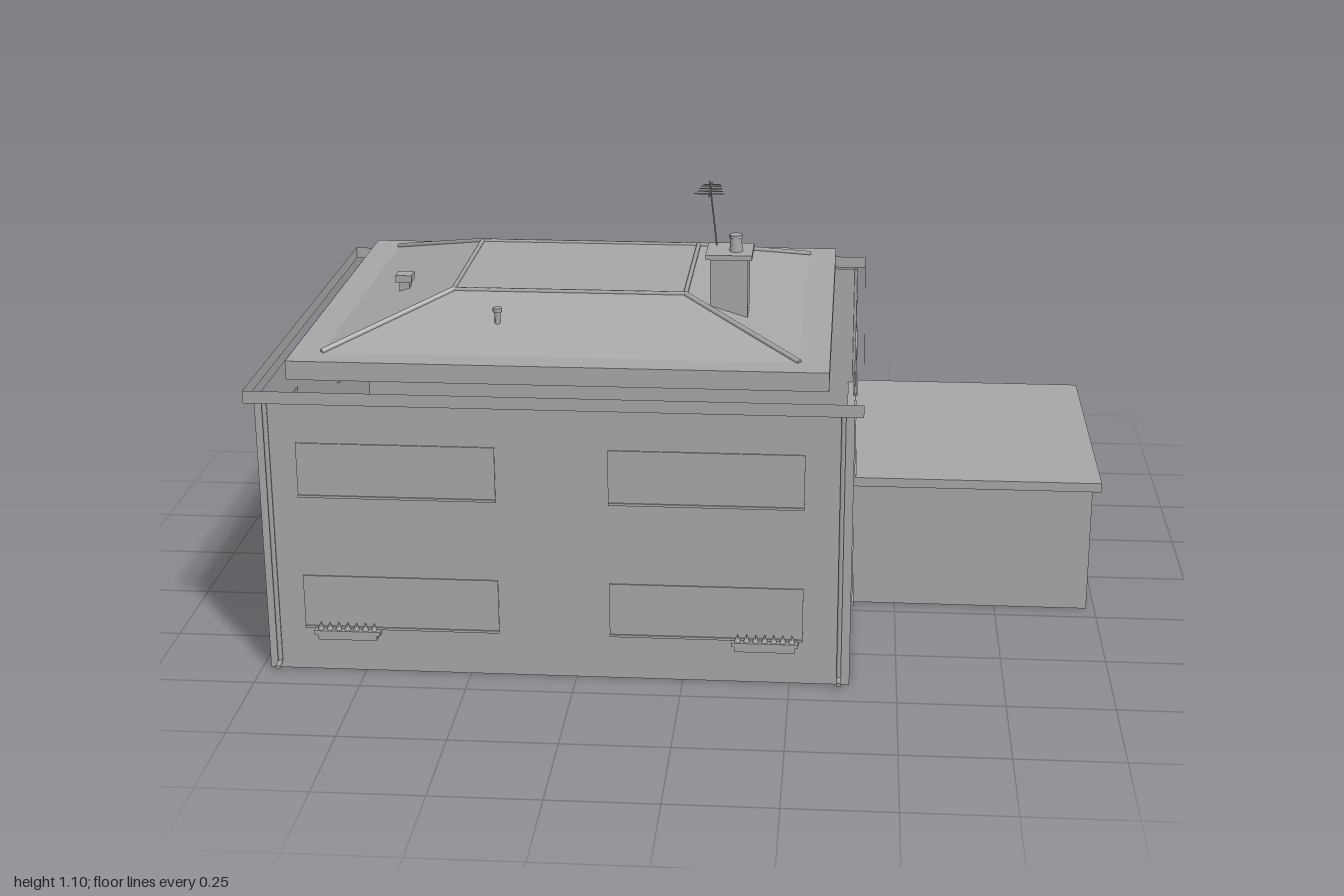
import * as THREE from 'three';

const stone = new THREE.MeshStandardMaterial({ color: 0xa6a6a6, side: THREE.DoubleSide });
stone.name = 'plain grey';

export function createModel() {
  const house = new THREE.Group();
  house.name = 'house';

  const add = (name, geometry, parent = house) => {
    const mesh = new THREE.Mesh(geometry, stone);
    mesh.name = name;
    parent.add(mesh);
    return mesh;
  };
  const group = (name) => {
    const g = new THREE.Group();
    g.name = name;
    house.add(g);
    return g;
  };
  // Box given by its limits on each axis
  const box = (name, x0, x1, y0, y1, z0, z1, parent) => {
    const m = add(name, new THREE.BoxGeometry(x1 - x0, y1 - y0, z1 - z0), parent);
    m.position.set((x0 + x1) / 2, (y0 + y1) / 2, (z0 + z1) / 2);
    return m;
  };
  // Four upright walls without floor or ceiling
  const ring = (name, x0, x1, y0, y1, z0, z1) => {
    const g = new THREE.CylinderGeometry(Math.SQRT1_2, Math.SQRT1_2, 1, 4, 1, true)
      .rotateY(Math.PI / 4).toNonIndexed();
    g.scale(x1 - x0, y1 - y0, z1 - z0);
    g.computeVertexNormals();
    add(name, g).position.set((x0 + x1) / 2, (y0 + y1) / 2, (z0 + z1) / 2);
  };
  // Round bar between two points
  const bar = (name, a, b, r, parent, sides = 6) => {
    const p = new THREE.Vector3(...a), q = new THREE.Vector3(...b);
    const m = add(name, new THREE.CylinderGeometry(r, r, p.distanceTo(q), sides), parent);
    m.position.copy(p).lerp(q, 0.5);
    m.quaternion.setFromUnitVectors(new THREE.Vector3(0, 1, 0), q.sub(p).normalize());
    return m;
  };

  // Main walls and the eaves strip, open above and below
  ring('houseWalls', -0.98, 0.39, 0, 0.67, -0.515, 0.665);
  ring('eavesFascia', -1.0, 0.41, 0.67, 0.7, -0.53, 0.685);
  ring('floorBand', -0.982, 0.392, 0.338, 0.342, -0.517, 0.667);

  // Roof: plinth, sloped sides and flat top
  box('roofBase', -0.92, 0.33, 0.7, 0.745, -0.45, 0.6);
  const low = { x: [-0.85, 0.26], z: [-0.39, 0.53] };
  const top = { x: [-0.58, -0.02], z: [-0.15, 0.29] };
  const roof = new THREE.BoxGeometry(1, 1, 1);
  const pos = roof.attributes.position;
  for (let i = 0; i < pos.count; i++) {
    const up = pos.getY(i) > 0, r = up ? top : low;
    pos.setXYZ(i, r.x[pos.getX(i) > 0 ? 1 : 0], up ? 0.832 : 0.745, r.z[pos.getZ(i) > 0 ? 1 : 0]);
  }
  roof.computeVertexNormals();
  add('hippedRoof', roof);

  // Ridge tiles on the hips and around the flat top
  const ridges = group('ridgeTiles');
  for (const i of [0, 1]) {
    for (const k of [0, 1]) {
      bar('hipTile', [low.x[i], 0.747, low.z[k]], [top.x[i], 0.832, top.z[k]], 0.007, ridges);
    }
    bar('topTile', [top.x[0], 0.832, top.z[i]], [top.x[1], 0.832, top.z[i]], 0.006, ridges);
    bar('topTile', [top.x[i], 0.832, top.z[0]], [top.x[i], 0.832, top.z[1]], 0.006, ridges);
  }

  // Chimney with pot
  const chimney = group('chimney');
  box('chimneyStack', 0.04, 0.13, 0.765, 0.93, 0.225, 0.32, chimney);
  box('chimneyCap', 0.03, 0.14, 0.928, 0.94, 0.215, 0.33, chimney);
  add('chimneyPot', new THREE.CylinderGeometry(0.012, 0.016, 0.04, 12), chimney).position.set(0.1, 0.96, 0.285);
  bar('potRim', [0.1, 0.972, 0.285], [0.1, 0.98, 0.285], 0.016, chimney, 12);

  // Aerial
  const aerial = group('aerial');
  bar('mast', [0.052, 0.93, 0.235], [0.035, 1.1, 0.252], 0.002, aerial);
  bar('boom', [0.037, 1.075, 0.305], [0.037, 1.083, 0.2], 0.002, aerial);
  [[0.295, 0.036], [0.27, 0.03], [0.245, 0.027], [0.22, 0.024], [0.204, 0.02]].forEach(([z, w]) =>
    bar('element', [0.037 - w, 1.08, z], [0.037 + w, 1.08, z], 0.0015, aerial));

  // Roof vents
  const vents = group('roofVents');
  box('ventStem', -0.743, -0.717, 0.775, 0.805, 0.117, 0.143, vents);
  box('ventCap', -0.75, -0.71, 0.803, 0.822, 0.11, 0.15, vents);
  bar('ventPipe', [-0.455, 0.77, 0.41], [-0.455, 0.822, 0.41], 0.007, vents, 8);
  bar('pipeCap', [-0.455, 0.815, 0.41], [-0.455, 0.825, 0.41], 0.011, vents, 8);

  // Garage: open shell under a flat roof
  ring('garageWalls', 0.39, 0.98, 0, 0.325, -0.515, 0.198);
  box('garageRoof', 0.37, 1.0, 0.32, 0.343, -0.535, 0.213);
  box('garageDoor', 0.46, 0.92, 0.01, 0.26, -0.518, -0.512);

  // Windows with sills
  const windows = group('windows');
  const t = 0.003;
  const zWindow = (x0, x1, y, z) => {
    box('windowPane', x0, x1, y, y + 0.13, z - t, z + t, windows);
    box('windowSill', x0, x1, y - 0.003, y + 0.003, z - 2 * t, z + 2 * t, windows);
  };
  const xWindow = (x, y, z0, z1) => {
    box('windowPane', x - t, x + t, y, y + 0.13, z0, z1, windows);
    box('windowSill', x - 2 * t, x + 2 * t, y - 0.003, y + 0.003, z0, z1, windows);
  };
  for (const y of [0.11, 0.44]) {
    zWindow(-0.89, -0.43, y, 0.665);
    zWindow(-0.17, 0.28, y, 0.665);
    zWindow(-0.88, -0.67, y, -0.515);
    zWindow(0.12, 0.28, y, -0.515);
    xWindow(-0.98, y, 0.28, 0.455);
    xWindow(-0.98, y, -0.31, -0.14);
    xWindow(0.39, y, 0.28, 0.455);
  }
  xWindow(0.39, 0.44, -0.3, -0.13);
  zWindow(-0.6, -0.42, 0.44, -0.515);
  zWindow(-0.18, 0.04, 0.44, -0.515);

  // Flower boxes with pointed plants
  const flowers = group('flowerBoxes');
  for (const x of [-0.788, 0.192]) {
    for (const [wall, s] of [[0.665, 1], [-0.515, -1]]) {
      const z = wall + s * 0.011;
      box('planter', x - 0.078, x + 0.078, 0.098, 0.108, z - 0.011, z + 0.011, flowers);
      box('planterFoot', x - 0.07, x + 0.07, 0.085, 0.098, z - 0.009, z + 0.009, flowers);
      for (let i = -3; i <= 3; i++) {
        add('plant', new THREE.ConeGeometry(0.009, 0.02, 5), flowers).position.set(x + i * 0.021, 0.117, z);
      }
    }
  }

  // Drainpipes at the front corners
  const pipes = group('drainpipes');
  for (const x of [-0.955, 0.365]) {
    bar('drainpipe', [x, 0.02, 0.672], [x, 0.67, 0.672], 0.006, pipes);
    bar('spout', [x, 0.02, 0.67], [x, 0.016, 0.7], 0.006, pipes);
  }
  bar('backDrainpipe', [0.385, 0, -0.518], [0.385, 0.67, -0.518], 0.005, pipes);

  // Back porch: step, columns, flat canopy and open gable
  const porch = group('porch');
  box('porchStep', -0.61, 0.01, 0, 0.025, -0.67, -0.515, porch);
  box('porchCanopy', -0.61, 0.015, 0.297, 0.32, -0.69, -0.515, porch);
  for (const x of [-0.565, -0.035]) {
    bar('column', [x, 0.025, -0.645], [x, 0.297, -0.645], 0.012, porch, 12);
    box('columnBase', x - 0.018, x + 0.018, 0.025, 0.055, -0.663, -0.627, porch);
    box('columnHead', x - 0.017, x + 0.017, 0.28, 0.297, -0.662, -0.628, porch);
  }
  const gable = new THREE.Shape([[-0.31, 0], [0.31, 0], [0.31, 0.018], [0, 0.12], [-0.31, 0.018]]
    .map((p) => new THREE.Vector2(...p)));
  gable.holes.push(new THREE.Path([[-0.23, 0.02], [0, 0.098], [0.23, 0.02]]
    .map((p) => new THREE.Vector2(...p))));
  add('gable', new THREE.ExtrudeGeometry(gable, { depth: 0.02, bevelEnabled: false }), porch)
    .position.set(-0.298, 0.3, -0.702);
  box('houseSign', -0.34, -0.26, 0.21, 0.26, -0.672, -0.668, porch);

  // Front door and the side light beside it
  box('door', -0.37, -0.23, 0.025, 0.26, -0.521, -0.512, porch);
  box('doorWindow', -0.34, -0.26, 0.17, 0.23, -0.523, -0.518, porch);
  box('sideLight', -0.19, -0.09, 0.18, 0.24, -0.52, -0.512, porch);

  return house;
}
